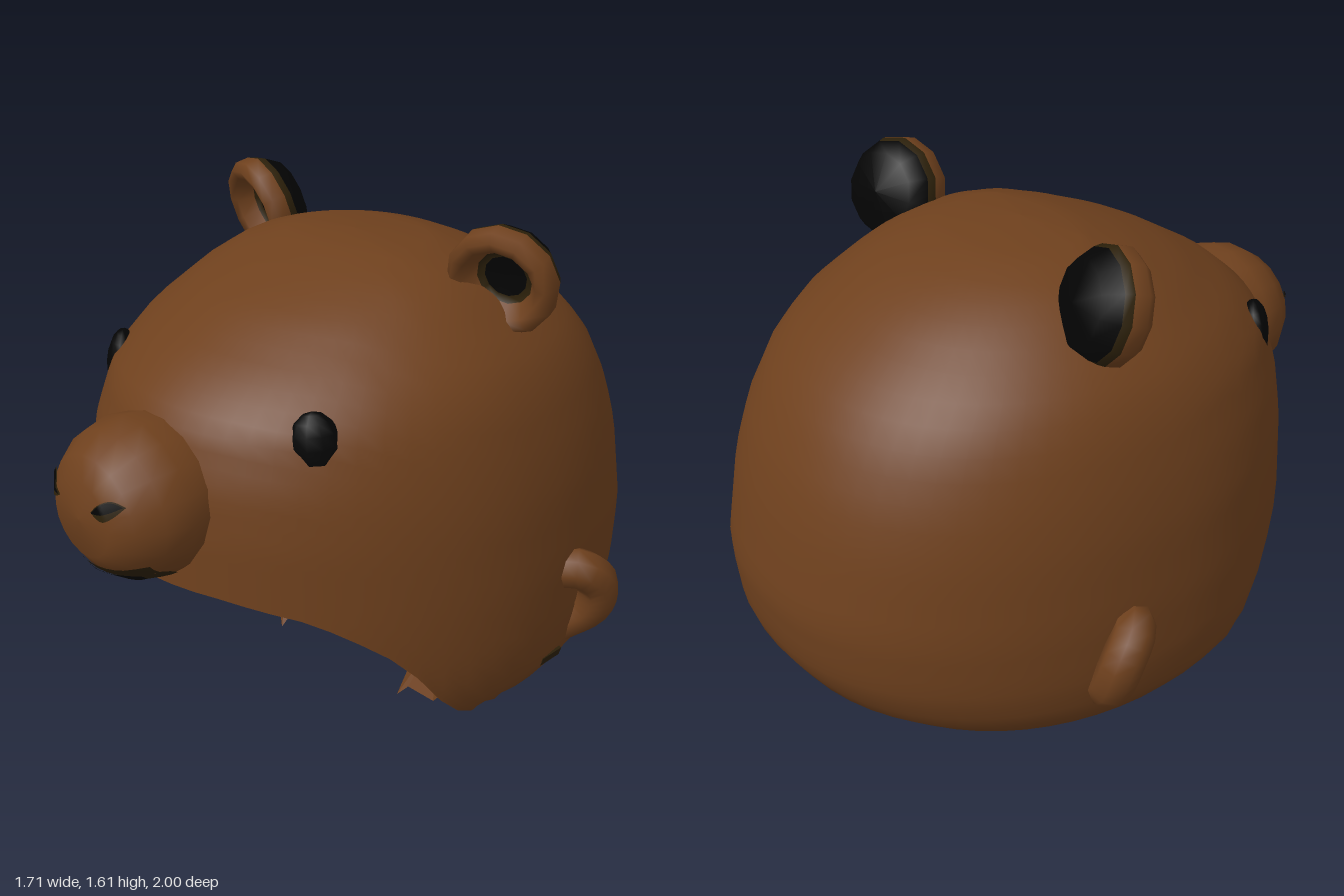
import * as THREE from 'three';

function flat(name, color, side = THREE.FrontSide) {
  const m = new THREE.MeshStandardMaterial({ color, side });
  m.name = name;
  return m;
}
const fur = flat('fur brown', 0x6e401d);
const black = flat('black', 0x040404);
const shade = flat('dark olive', 0x2c200a);
const flapFur = flat('flap brown', 0x6e401d, THREE.DoubleSide);
const MATS = [fur, black, shade];

// horizontal slices of the hood: height, half width, front z, back z
const SLICES = [
  [1.51, 0, -0.05, -0.05], [1.5, 0.22, 0.08, -0.24], [1.45, 0.38, 0.24, -0.41], [1.38, 0.48, 0.41, -0.55],
  [1.26, 0.605, 0.61, -0.71], [1.16, 0.665, 0.73, -0.81], [1.0, 0.715, 0.79, -0.9], [0.85, 0.745, 0.81, -0.95],
  [0.6, 0.765, 0.82, -1], [0.4, 0.765, 0.82, -0.98], [0.28, 0.745, 0.82, -0.91], [0.2, 0.695, 0.82, -0.82],
  [0.12, 0.56, 0.82, -0.69],
];
// lower edge of the hood: z, height
const EDGE = [[0.82, 0.7], [0.75, 0.69], [0.6, 0.64], [0.45, 0.53], [0.35, 0.42], [0.25, 0.28], [0.1, 0.18], [0, 0.14], [-0.1, 0.12]];
// snout profile: radius, z
const SNOUT = [[0, 1], [0.12, 0.99], [0.18, 0.95], [0.23, 0.88], [0.25, 0.8], [0.235, 0.7], [0.2, 0.55]];

// piecewise linear lookup in a table whose first column falls or rises
function lookup(table, key, col) {
  for (let i = 1; i < table.length; i++) {
    const a = table[i - 1], b = table[i];
    if ((key - a[0]) * (key - b[0]) <= 0) {
      return a[col] + (b[col] - a[col]) * (key - a[0]) / (b[0] - a[0]);
    }
  }
  return table[table.length - 1][col];
}

// grid surface from a point rule; pick gives the material of each cell
function surface(name, nu, nv, point, { closed = false, flip = false, pick = () => 0 } = {}) {
  const pos = [], buckets = [[], [], []];
  const cols = closed ? nu : nu + 1;
  for (let j = 0; j <= nv; j++) {
    for (let i = 0; i < cols; i++) pos.push(...point(i / nu, j / nv));
  }
  for (let j = 0; j < nv; j++) {
    for (let i = 0; i < nu; i++) {
      const a = j * cols + i, d = j * cols + (i + 1) % cols, b = a + cols, c = d + cols;
      const cell = flip ? [a, c, b, a, d, c] : [a, b, c, a, c, d];
      buckets[pick((i + 0.5) / nu, (j + 0.5) / nv)].push(...cell);
    }
  }
  const g = new THREE.BufferGeometry();
  g.setAttribute('position', new THREE.Float32BufferAttribute(pos, 3));
  g.setIndex(buckets.flat());
  let start = 0;
  buckets.forEach((b, m) => {
    if (b.length) g.addGroup(start, b.length, m);
    start += b.length;
  });
  g.computeVertexNormals();
  const mesh = new THREE.Mesh(g, MATS);
  mesh.name = name;
  return mesh;
}

function edgeHeight(u) {
  const c = Math.cos(u * Math.PI * 2);
  return lookup(EDGE, -0.05 + c * 0.87, 1);
}

function outerPoint(u, v) {
  const t = u * Math.PI * 2, c = Math.cos(t), s = Math.sin(t), low = edgeHeight(u);
  const y = 1.51 - (1.51 - low) * (1 - Math.cos(Math.PI * v)) / 2;
  const reach = lookup(SLICES, y, c > 0 ? 2 : 3) + 0.05;
  const side = Math.pow(Math.abs(s), c > 0 ? 1.04 : 0.92) * Math.sign(s);
  const depth = Math.pow(Math.abs(c), c > 0 ? 1 : 0.95);
  return [side * lookup(SLICES, y, 1), y, -0.05 + reach * depth];
}

function innerPoint(u, v) {
  const [x, y, z] = outerPoint(u, v), low = edgeHeight(u);
  return [x * 0.9, low + (y - low) * (1.42 - low) / (1.51 - low), -0.05 + (z + 0.05) * 0.91];
}

// thin patch laid over the snout, between an upper and a lower line
function snoutPatch(name, x0, x1, upper, lower, mat, lift) {
  return surface(name, 14, 4, (u, v) => {
    const x = x0 + (x1 - x0) * u, y = upper(u) + (lower(u) - upper(u)) * v;
    const r = Math.min(0.248, Math.hypot(x - 0.01, (y - 0.93) / 0.94));
    return [x, y, lookup(SNOUT, r, 1) + lift];
  }, { pick: () => mat });
}

function ear(side) {
  const g = new THREE.Group();
  g.name = side > 0 ? 'leftEar' : 'rightEar';
  // cup profile from the hollow, over the lip, to the back: radius, depth, material
  const cup = [[0, -0.035, 1], [0.065, -0.03, 2], [0.085, -0.02, 0], [0.115, 0.03, 0], [0.145, 0.04, 0],
    [0.165, 0.015, 0], [0.165, -0.03, 2], [0.155, -0.055, 1], [0.12, -0.105, 1], [0, -0.125, 1]];
  const n = cup.length - 1;
  g.add(surface('earCup', 12, n, (u, v) => {
    const [r, z] = cup[Math.round(v * n)], t = u * Math.PI * 2;
    return [r * Math.cos(t), r * Math.sin(t), z];
  }, { closed: true, pick: (u, v) => cup[Math.floor(v * n)][2] }));
  g.position.set(side * 0.505, 1.445, -0.13);
  g.rotation.set(0.27, side * 0.26, 0);
  return g;
}

export function createModel() {
  const model = new THREE.Group();
  model.name = 'animalHood';

  // hood shell with dark lower corners, lining with a black front, and the rim that joins them
  model.add(surface('hood', 64, 32, outerPoint, {
    closed: true,
    pick: (u, v) => {
      const z = outerPoint(u, v)[2];
      return v > 0.93 && z > -0.08 && z < 0.1 ? 2 : 0;
    },
  }));
  model.add(surface('lining', 64, 24, innerPoint, {
    closed: true, flip: true,
    pick: (u, v) => {
      const front = Math.min(u, 1 - u);
      if (front < 0.19 && v < 0.88) return 1;
      return front < 0.215 && v < 0.94 ? 2 : 0;
    },
  }));
  model.add(surface('rim', 64, 1, (u, v) => {
    const a = outerPoint(u, 1), b = innerPoint(u, 1);
    return a.map((k, i) => k + (b[i] - k) * v);
  }, {
    closed: true,
    pick: (u) => {
      const z = outerPoint(u, 1)[2];
      if (z > -0.12 && z < 0.03) return 1;
      return z > -0.2 && z < 0.13 ? 2 : 0;
    },
  }));

  // small dark mark beside the left side ear
  const mark = new THREE.Mesh(new THREE.BoxGeometry(0.009, 0.03, 0.09), shade);
  mark.name = 'sideMark';
  mark.position.set(0.739, 0.285, -0.17);
  mark.rotation.z = -0.28;
  model.add(mark);

  // snout
  const n = SNOUT.length - 1;
  model.add(surface('snout', 18, n, (u, v) => {
    const [r, z] = SNOUT[Math.round(v * n)], t = u * Math.PI * 2;
    return [0.01 + r * Math.cos(t), 0.93 + 0.94 * r * Math.sin(t), z];
  }, { closed: true }));

  // mouth with two drooping lobes
  const lobe = (u) => Math.abs(Math.sin(u * Math.PI * 2));
  model.add(snoutPatch('mouthShade', -0.22, 0.19, (u) => 0.785 + 0.035 * Math.abs(2 * u - 1) - 0.01 * lobe(u),
    (u) => 0.765 - 0.045 * lobe(u), 2, 0.005));
  model.add(snoutPatch('mouth', -0.17, 0.15, (u) => 0.765 + 0.006 * Math.abs(2 * u - 1),
    (u) => 0.757 - 0.025 * lobe(u), 1, 0.009));

  for (const s of [-1, 1]) {
    // slanted nostrils
    const slant = (u) => 0.975 + 0.035 * (s > 0 ? u : 1 - u);
    const cx = s * 0.12;
    model.add(snoutPatch('nostrilShade', cx - 0.05, cx + 0.05, (u) => slant(u) + 0.025 * Math.sin(u * Math.PI),
      (u) => slant(u) - 0.03 * Math.sin(u * Math.PI), 2, 0.006));
    model.add(snoutPatch('nostril', cx - 0.045, cx + 0.045, (u) => slant(u) + 0.022 * Math.sin(u * Math.PI),
      (u) => slant(u) - 0.008 * Math.sin(u * Math.PI), 1, 0.009));

    // eyes
    const eye = new THREE.Mesh(new THREE.SphereGeometry(1, 10, 8), black);
    eye.name = s > 0 ? 'leftEye' : 'rightEye';
    eye.scale.set(0.072, 0.1, 0.045);
    eye.position.set(s * 0.425, 1.125, 0.515);
    eye.rotation.set(-0.15, s * 0.8, s * 0.2);
    model.add(eye);

    model.add(ear(s));

    // curled side ears
    const path = new THREE.CatmullRomCurve3([[0.68, 0.56, -0.2], [0.77, 0.575, -0.25], [0.795, 0.51, -0.31],
      [0.765, 0.41, -0.32], [0.68, 0.33, -0.28]].map(([x, y, z]) => new THREE.Vector3(s * x, y, z)));
    const curl = new THREE.Mesh(new THREE.TubeGeometry(path, 14, 0.064, 8), fur);
    curl.name = s > 0 ? 'leftSideEar' : 'rightSideEar';
    model.add(curl);

    // ragged flaps under the rim
    const tips = [[0.52, 0.16, 0], [0.42, 0.035, 0], [0.31, 0.035, 0], [0.28, 0, 0.02],
      [0.265, 0.08, -0.06], [0.2, 0.06, -0.3], [0.18, 0.14, -0.38]];
    const fan = [];
    for (let i = 0; i < tips.length - 1; i++) fan.push([0.35, 0.2, -0.08], tips[i], tips[i + 1]);
    const g = new THREE.BufferGeometry();
    g.setAttribute('position', new THREE.Float32BufferAttribute(fan.flatMap(([x, y, z]) => [s * x, y, z]), 3));
    g.computeVertexNormals();
    const flap = new THREE.Mesh(g, flapFur);
    flap.name = 'raggedFlap';
    model.add(flap);
  }
  return model;
}
